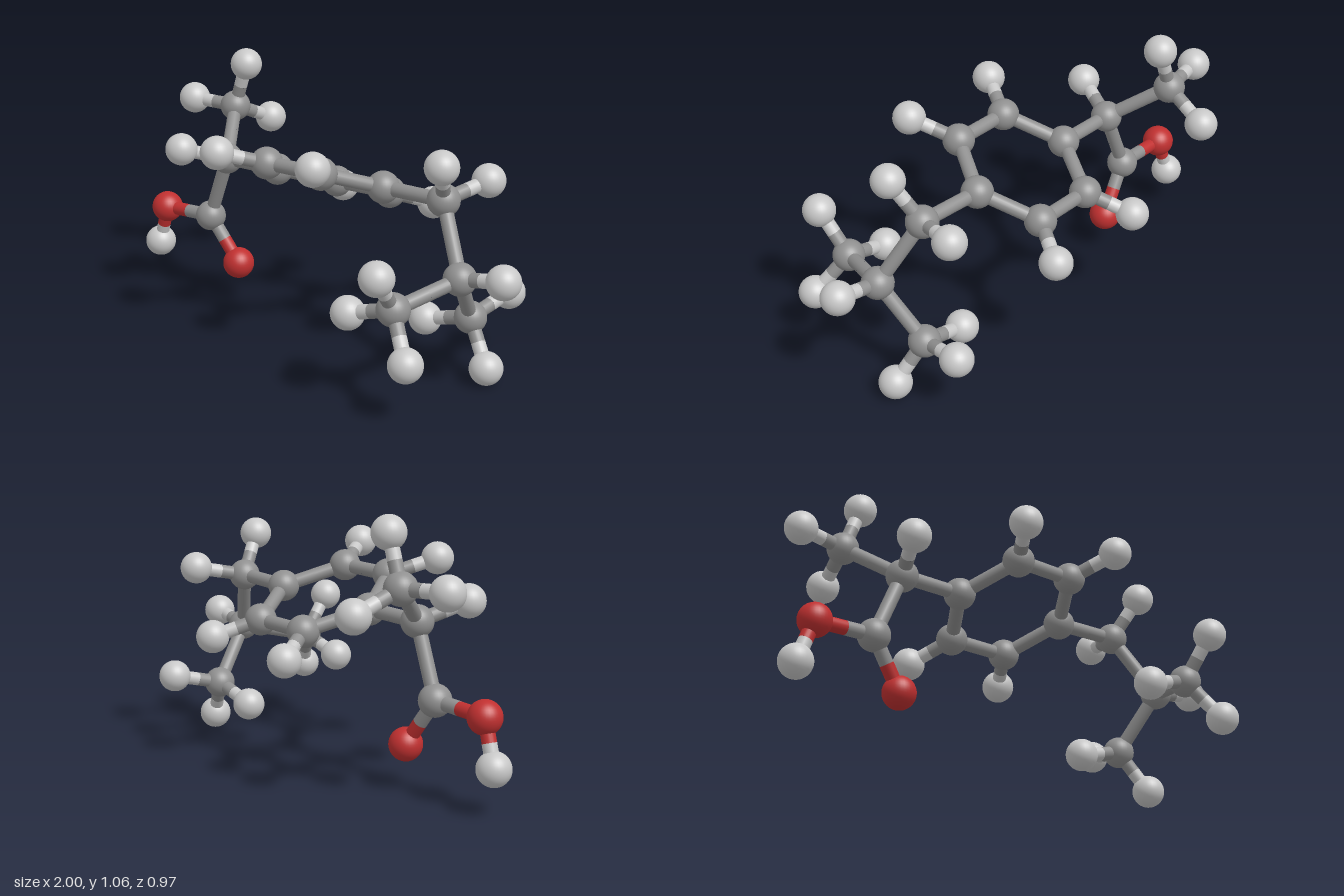
import * as THREE from 'three';

const mat = (name, color) => {
  const m = new THREE.MeshStandardMaterial({ color });
  m.name = name;
  return m;
};

export function createModel() {
  const model = new THREE.Group();
  model.name = 'ballAndStickMolecule';

  const kinds = {
    carbon: { material: mat('carbonGrey', 0x909090), radius: 0.064 },
    hydrogen: { material: mat('hydrogenLightGrey', 0xc8c8c8), radius: 0.066 },
    oxygen: { material: mat('oxygenRed', 0xc03030), radius: 0.066 },
  };
  const BOND_RADIUS = 0.028;
  const UP = new THREE.Vector3(0, 1, 0);
  for (const k of Object.values(kinds)) k.ball = new THREE.SphereGeometry(k.radius, 32, 20);

  // Half of a bond, in the colour of the atom it starts from
  function halfBond(from, end) {
    const dir = end.clone().sub(from.pos);
    const stick = new THREE.Mesh(
      new THREE.CylinderGeometry(BOND_RADIUS, BOND_RADIUS, dir.length(), 20, 1, true),
      kinds[from.kind].material);
    stick.name = from.kind + 'Bond';
    stick.position.copy(from.pos).add(end).multiplyScalar(0.5);
    stick.quaternion.setFromUnitVectors(UP, dir.normalize());
    model.add(stick);
  }

  function bond(a, b) {
    const middle = a.pos.clone().lerp(b.pos, 0.5);
    halfBond(a, middle);
    halfBond(b, middle);
  }

  // Adds an atom and joins it to its parent atom
  function atom(kind, x, y, z, parent) {
    const a = { kind, pos: new THREE.Vector3(x, y, z) };
    const ball = new THREE.Mesh(kinds[kind].ball, kinds[kind].material);
    ball.name = kind + 'Atom';
    ball.position.copy(a.pos);
    model.add(ball);
    if (parent) bond(parent, a);
    return a;
  }
  const C = (p, parent) => atom('carbon', ...p, parent);
  const O = (p, parent) => atom('oxygen', ...p, parent);
  const H = (parent, ...points) => points.forEach((p) => atom('hydrogen', ...p, parent));

  // Six-sided ring, in order around the loop
  const ring = [
    [-0.23, 0.66, 0.02], [-0.08, 0.763, 0.214], [0.185, 0.773, 0.18],
    [0.292, 0.692, -0.05], [0.145, 0.59, -0.245], [-0.125, 0.58, -0.214],
  ].map((p) => C(p));
  ring.forEach((a, i) => bond(a, ring[(i + 1) % 6]));
  H(ring[1], [-0.163, 0.825, 0.395]);
  H(ring[2], [0.302, 0.852, 0.336]);
  H(ring[4], [0.227, 0.525, -0.418]);
  H(ring[5], [-0.238, 0.5, -0.366]);

  // Right arm: branching carbon with a methyl group
  const branch = C([-0.505, 0.65, 0.05], ring[0]);
  H(branch, [-0.564, 0.718, 0.245]);
  const methyl = C([-0.668, 0.808, -0.142], branch);
  H(methyl, [-0.598, 1.002, -0.146], [-0.874, 0.814, -0.089], [-0.655, 0.724, -0.334]);

  // Acid group
  const acid = C([-0.617, 0.37, 0.053], branch);
  O([-0.484, 0.181, 0.017], acid);
  const hydroxyl = O([-0.874, 0.354, 0.083], acid);
  H(hydroxyl, [-0.936, 0.178, 0.078]);

  // Left arm: linking carbon and forked tail
  const link = C([0.58, 0.705, -0.072], ring[3]);
  H(link, [0.652, 0.87, 0.026], [0.623, 0.744, -0.28]);
  const fork = C([0.74, 0.458, 0.01], link);
  H(fork, [0.933, 0.497, -0.003]);
  const tailFront = C([0.668, 0.398, 0.289], fork);
  H(tailFront, [0.703, 0.563, 0.415], [0.794, 0.243, 0.357], [0.468, 0.334, 0.319]);
  const tailBack = C([0.66, 0.232, -0.155], fork);
  H(tailBack, [0.676, 0.28, -0.363], [0.778, 0.07, -0.115], [0.452, 0.172, -0.13]);

  return model;
}
